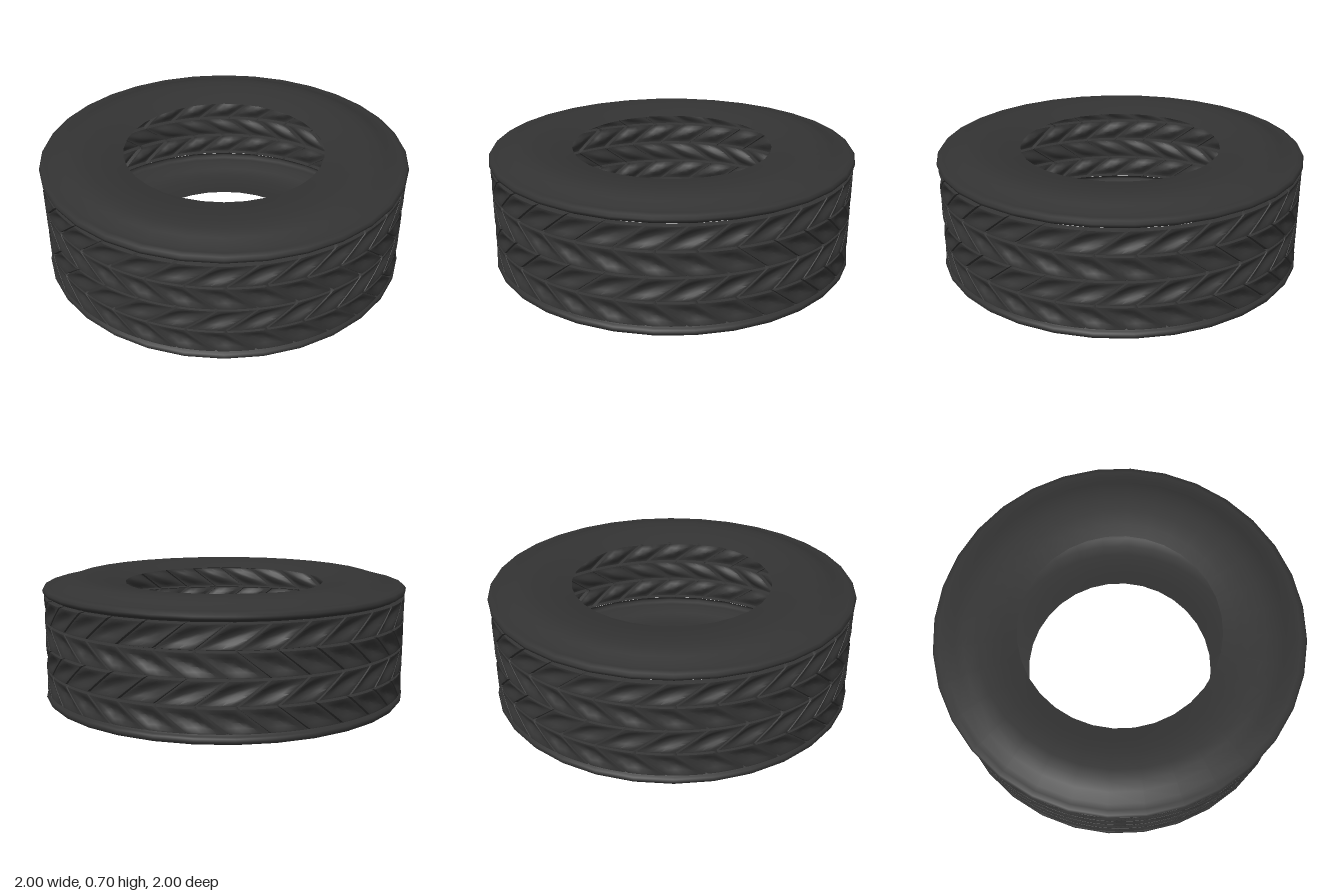
import * as THREE from 'three';
import { toCreasedNormals } from 'three/addons/utils/BufferGeometryUtils.js';

const HEIGHT = 0.705;
const TREAD_BOTTOM = 0.09, TREAD_TOP = HEIGHT - 0.09;
const PITCHES = 32, ROWS = 4;
const EDGE = 0.992, GROOVE = 0.968, DISH = 0.026, SLANT = 0.85;

// Sidewall and rounded shoulder, from the tread edge in to the rim hole
function sidewallGeometry(top) {
  const profile = [
    [0.97, 0.615], [0.982, 0.625], [0.996, 0.63], [1, 0.645], [0.99, 0.659], [0.965, 0.664],
    [0.935, 0.664], [0.88, 0.687], [0.83, 0.703], [0.77, HEIGHT], [0.69, 0.698], [0.62, 0.685], [0.55, 0.668],
  ].map(([r, y]) => new THREE.Vector2(r, top ? y : HEIGHT - y));
  if (!top) profile.reverse();
  return new THREE.LatheGeometry(profile, 32);
}

// Tread: a grid around the tyre, sheared in a zigzag so the blocks form chevrons
function treadGeometry() {
  const across = [0, 0.04, 0.08, 0.22, 0.4, 0.6, 0.78, 0.92, 0.96];
  const along = [0, 0.05, 0.1, 0.25, 0.42, 0.58, 0.75, 0.9, 0.95];
  const inBlock = (t, lo) => THREE.MathUtils.clamp((t - lo) / (1 - 2 * lo), 0, 1);
  const isGroove = (t, lo) => t < lo * 0.9 || t > 1 - lo * 0.9;
  const positions = [], indices = [];
  const columns = PITCHES * across.length;
  const levels = ROWS * along.length + 1;

  for (let j = 0; j < levels; j++) {
    const row = Math.min(Math.floor(j / along.length), ROWS - 1);
    const v = j === levels - 1 ? 1 : along[j % along.length];
    const y = TREAD_BOTTOM + (TREAD_TOP - TREAD_BOTTOM) * (row + v) / ROWS;
    const shift = SLANT * (row % 2 ? v : 1 - v);
    for (let i = 0; i < columns; i++) {
      const u = across[i % across.length];
      const angle = (Math.floor(i / across.length) + u + shift) / PITCHES * Math.PI * 2;
      const hollow = Math.sin(Math.PI * inBlock(u, 0.08)) * Math.sin(Math.PI * inBlock(v, 0.1));
      const r = isGroove(u, 0.04) || isGroove(v, 0.05) ? GROOVE : EDGE - DISH * hollow;
      positions.push(r * Math.sin(angle), y, r * Math.cos(angle));
    }
  }
  for (let j = 0; j < levels - 1; j++) {
    for (let i = 0; i < columns; i++) {
      const next = (i + 1) % columns;
      const a = j * columns + i, b = j * columns + next;
      const c = a + columns, d = b + columns;
      indices.push(a, b, d, a, d, c);
    }
  }
  const geometry = new THREE.BufferGeometry();
  geometry.setAttribute('position', new THREE.Float32BufferAttribute(positions, 3));
  geometry.setIndex(indices);
  return toCreasedNormals(geometry, 0.7);
}

export function createModel() {
  const group = new THREE.Group();
  group.name = 'tyre';
  const rubber = new THREE.MeshStandardMaterial({ color: 0x333333, side: THREE.DoubleSide });
  const add = (name, geometry) => {
    const mesh = new THREE.Mesh(geometry, rubber);
    mesh.name = name;
    group.add(mesh);
  };
  add('topSidewall', sidewallGeometry(true));
  add('bottomSidewall', sidewallGeometry(false));
  add('tread', treadGeometry());
  return group;
}
